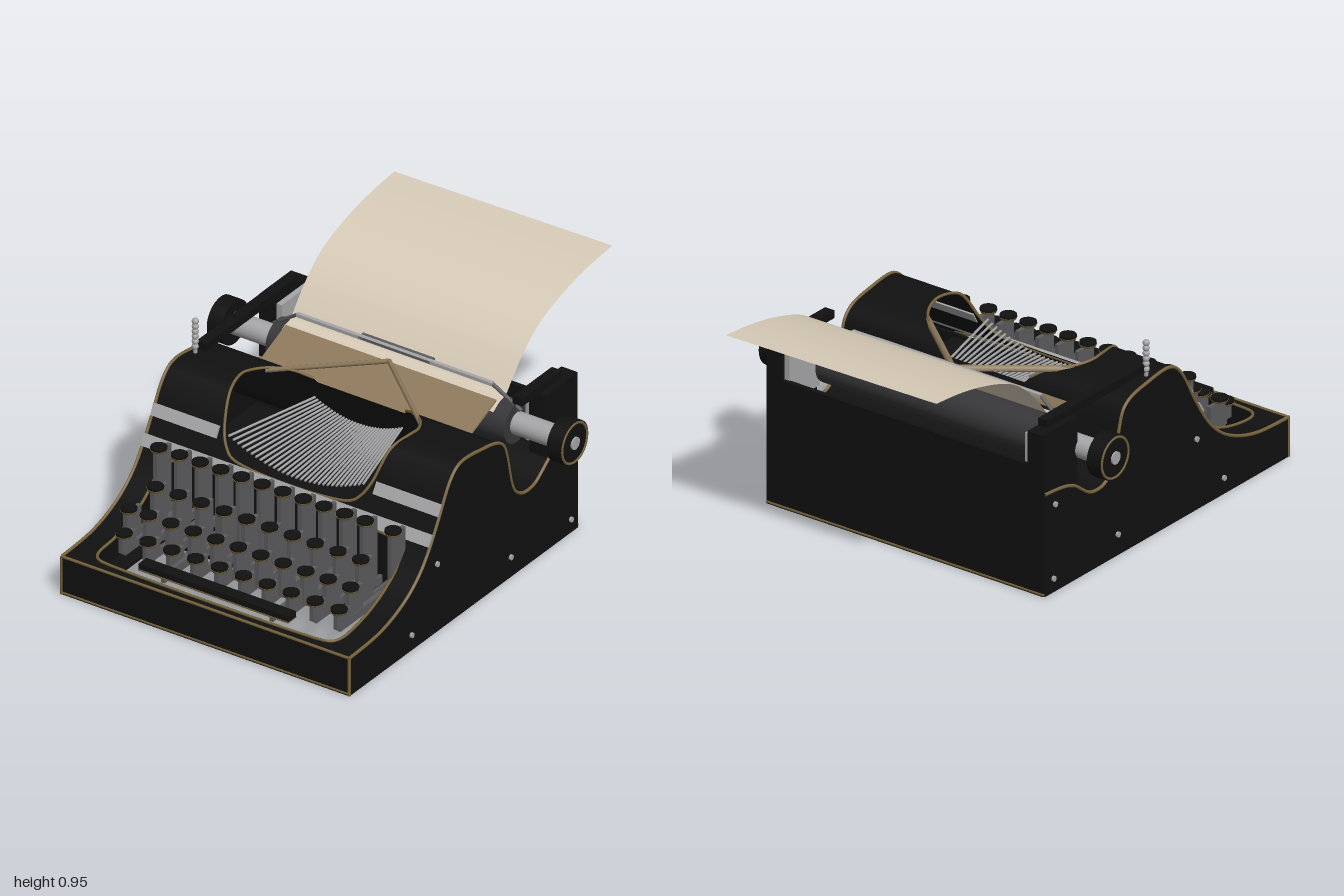
import * as THREE from 'three';

const mat = (name, color, side = THREE.FrontSide) => {
  const m = new THREE.MeshStandardMaterial({ color, side });
  m.name = name;
  return m;
};
const V = (x, y, z) => new THREE.Vector3(x, y, z);

export function createModel() {
  const black = mat('black enamel', 0x111111, THREE.DoubleSide);
  const gold = mat('gold trim', 0x77643c);
  const silver = mat('silver', 0xa6a6a8);
  const steel = mat('steel grey', 0x5c5c5f);
  const rubber = mat('platen rubber', 0x38383a);
  const tan = mat('tan guide', 0x8e7a5c, THREE.DoubleSide);
  const paperMat = mat('paper', 0xd8ccb8, THREE.DoubleSide);

  const model = new THREE.Group();
  model.name = 'typewriter';
  const add = (name, geo, m, x = 0, y = 0, z = 0, parent = model) => {
    const mesh = new THREE.Mesh(geo, m);
    mesh.name = name;
    mesh.position.set(x, y, z);
    parent.add(mesh);
    return mesh;
  };
  const box = (name, m, x0, x1, y0, y1, z0, z1, parent) =>
    add(name, new THREE.BoxGeometry(x1 - x0, y1 - y0, z1 - z0), m, (x0 + x1) / 2, (y0 + y1) / 2, (z0 + z1) / 2, parent);
  const tube = (name, pts, r, m, closed = false, n = 120) =>
    add(name, new THREE.TubeGeometry(new THREE.CatmullRomCurve3(pts, closed), n, r, 6, closed), m);
  const rod = (name, a, b, r, m, parent) => {
    const d = b.clone().sub(a);
    const mesh = add(name, new THREE.CylinderGeometry(r, r, d.length(), 6), m, 0, 0, 0, parent);
    mesh.position.copy(a).addScaledVector(d, 0.5);
    mesh.quaternion.setFromUnitVectors(V(0, 1, 0), d.normalize());
    return mesh;
  };
  const drum = (name, m, r, x0, x1, y, z) =>
    add(name, new THREE.CylinderGeometry(r, r, x1 - x0, 32).rotateZ(Math.PI / 2), m, (x0 + x1) / 2, y, z);

  // Side profile of the body as z, y
  const profile = new THREE.CatmullRomCurve3([
    [1, 0.165], [0.9, 0.168], [0.8, 0.177], [0.7, 0.203], [0.6, 0.25], [0.52, 0.315], [0.455, 0.4],
    [0.39, 0.51], [0.34, 0.6], [0.29, 0.653], [0.24, 0.668], [0.12, 0.655], [0.01, 0.63], [-0.035, 0.59],
    [-0.07, 0.46], [-0.1, 0.37], [-0.16, 0.328], [-0.24, 0.333], [-0.33, 0.395], [-0.4, 0.418], [-0.52, 0.43],
  ].map(([z, y]) => V(0, y, z))).getPoints(160);
  const lerpTable = (t, key, val, z) => {
    for (let i = 0; i < t.length - 1; i++) {
      const a = t[i], b = t[i + 1];
      if (z <= a[key] && z >= b[key]) return a[val] + (b[val] - a[val]) * (a[key] - z) / (a[key] - b[key] || 1);
    }
    return z > 0 ? t[0][val] : t[t.length - 1][val];
  };
  const bodyY = z => lerpTable(profile, 'z', 'y', z);

  // Half width of the keyboard and type basket openings
  const basket = [[0.43, 0.26], [0.41, 0.31], [0.38, 0.34], [0.3, 0.37], [0.2, 0.39], [0.14, 0.385], [0.08, 0.36], [-0.04, 0.2]];
  const opening = z => {
    if (z > 0.47 && z < 0.95) {
      const d = Math.max(0, 0.06 - Math.min(z - 0.47, 0.95 - z));
      return 0.5 + Math.sqrt(0.0036 - d * d);
    }
    return z < 0.43 && z > -0.04 ? lerpTable(basket, 0, 1, z) : 0;
  };

  // Curved top cover, in strips either side of the openings
  const cover = [];
  for (let i = 0; i < 152; i++) {
    const z0 = 1 - i / 100, z1 = z0 - 0.01, y0 = bodyY(z0), y1 = bodyY(z1);
    const a = opening(z0 - 1e-4), b = opening(z1 + 1e-4), w = 0.66;
    cover.push(a, y0, z0, w, y0, z0, w, y1, z1, a, y0, z0, w, y1, z1, b, y1, z1);
    cover.push(-a, y0, z0, -w, y1, z1, -w, y0, z0, -a, y0, z0, -b, y1, z1, -w, y1, z1);
  }
  const coverGeo = new THREE.BufferGeometry();
  coverGeo.setAttribute('position', new THREE.Float32BufferAttribute(cover, 3));
  coverGeo.computeVertexNormals();
  add('topCover', coverGeo, black);

  // Side plates with gold edging and screws
  const side = new THREE.Shape([new THREE.Vector2(-0.52, 0), new THREE.Vector2(1, 0),
    ...profile.map(p => new THREE.Vector2(p.z, p.y))]);
  const sideGeo = new THREE.ExtrudeGeometry(side, { depth: 0.03, bevelEnabled: false }).rotateY(-Math.PI / 2);
  for (const s of [-1, 1]) {
    add('sidePlate', sideGeo, black, s > 0 ? 0.665 : -0.635);
    tube('sideTrim', profile.filter((p, i) => i % 4 === 0).map(p => V(s * 0.662, p.y, p.z)), 0.007, gold);
    rod('frontCornerTrim', V(s * 0.662, 0, 0.997), V(s * 0.662, 0.165, 0.997), 0.006, gold);
    for (const [z, y] of [[0.42, 0.3], [0.59, 0.07], [-0.07, 0.09], [-0.47, 0.06], [-0.46, 0.37]])
      drum('screw', silver, 0.011, s * 0.668 - 0.006, s * 0.668 + 0.006, y, z);
  }

  // Front, back, floor and inner panels
  box('frontPanel', black, -0.66, 0.66, 0, 0.165, 0.975, 1);
  box('backPanel', black, -0.66, 0.66, 0, 0.43, -0.525, -0.505);
  box('keyboardBackPanel', black, -0.64, 0.64, 0, 0.39, 0.43, 0.445);
  box('basketFloor', black, -0.5, 0.5, 0.36, 0.38, -0.06, 0.43);
  const floor = new THREE.Shape([[-0.66, -0.525], [0.66, -0.525], [0.66, 1], [-0.66, 1]].map(p => new THREE.Vector2(...p)));
  floor.holes.push(new THREE.Path([[-0.56, 0.47], [-0.56, 0.95], [0.56, 0.95], [0.56, 0.47]].map(p => new THREE.Vector2(...p))));
  add('floor', new THREE.ExtrudeGeometry(floor, { depth: 0.012, bevelEnabled: false }).rotateX(Math.PI / 2), black, 0, 0.012);
  for (const [y, z] of [[0.165, 0.997], [0.008, 0.997], [0.008, -0.522]])
    rod('edgeTrim', V(-0.662, y, z), V(0.662, y, z), 0.006, gold);

  // Gold edging round the openings
  const rim = zs => {
    const half = zs.map(z => V(opening(z), bodyY(z) + 0.003, z));
    return [...half, ...half.map(p => V(-p.x, p.y, p.z)).reverse()];
  };
  tube('keyboardTrim', rim([0.948, 0.94, 0.925, 0.89, 0.8, 0.7, 0.6, 0.53, 0.495, 0.48, 0.472]), 0.006, gold, true, 200);
  tube('basketTrim', rim([-0.03, 0.02, 0.07, 0.14, 0.2, 0.3, 0.38, 0.41, 0.428]).reverse(), 0.006, gold, false, 160);

  // Silver bands across the front slope
  const band = (x, w, y, z) => {
    add('silverBand', new THREE.BoxGeometry(w, 0.05, 0.016), silver, x, y, z).rotation.x = -0.56;
  };
  band(0, 1.325, 0.415, 0.455);
  band(-0.512, 0.3, 0.517, 0.39);
  band(0.512, 0.3, 0.517, 0.39);

  // Keys: first x, spacing, count, height, z, extra key x
  const rows = [
    [-0.524, 0.095, 11, 0.475, 0.55, 0.555], [-0.47, 0.105, 10, 0.37, 0.65],
    [-0.434, 0.1035, 10, 0.305, 0.75, -0.524], [-0.487, 0.11, 10, 0.25, 0.835],
  ];
  const capGeo = new THREE.CylinderGeometry(0.033, 0.033, 0.014, 20);
  const ringGeo = new THREE.CylinderGeometry(0.035, 0.031, 0.009, 20);
  const makeKey = (x, y, z) => {
    const key = new THREE.Group();
    key.name = 'key';
    model.add(key);
    add('keyCap', capGeo, black, x, y - 0.004, z, key);
    add('keyRing', ringGeo, gold, x, y - 0.011, z, key);
    box('keyStem', steel, x - 0.009, x + 0.009, 0.17, y - 0.015, z - 0.07, z + 0.025, key);
    box('keyLever', steel, x - 0.007, x + 0.007, 0.15, 0.185, 0.44, z, key);
  };
  for (const [x0, step, n, y, z, extra] of rows) {
    for (let i = 0; i < n; i++) makeKey(x0 + i * step, y, z);
    if (extra) makeKey(extra, y, z);
  }
  box('spaceBar', black, -0.345, 0.345, 0.19, 0.215, 0.892, 0.945);
  box('spaceBarTrim', gold, -0.345, 0.345, 0.186, 0.192, 0.89, 0.947);
  for (const x of [-0.25, 0.25]) box('spaceBarArm', steel, x - 0.008, x + 0.008, 0.15, 0.187, 0.45, 0.92);

  // Fan of type bars
  for (let i = -15; i <= 15; i++) {
    const s = i / 15;
    rod('typeBar', V(s * 0.31, 0.44 + 0.08 * s * s, 0.395), V(s * 0.2, 0.475 + 0.05 * s * s, -0.02), 0.0052, silver);
  }

  // Type guide, sloping plate and V-shaped arms
  add('guidePlate', new THREE.BoxGeometry(0.97, 0.008, 0.2), tan, 0, 0.6, -0.145).rotation.x = 0.38;
  add('typeGuide', new THREE.CylinderGeometry(0.29, 0.22, 0.09, 4, 1, true, Math.PI / 4, Math.PI / 2)
    .rotateY(-Math.PI / 2).scale(1, 1, 0.05), silver, 0, 0.525, -0.12);
  for (const s of [-1, 1]) {
    const arm = rod('guideArm', V(0, 0.652, -0.225), V(s * 0.36, 0.638, 0.08), 0.014, tan);
    arm.scale.z = 0.7;
    rod('guideStrut', V(s * 0.2, 0.48, -0.12), V(s * 0.2, 0.58, -0.19), 0.008, tan);
  }

  // Platen with shafts and knobs
  const py = 0.54, pz = -0.28;
  drum('platen', rubber, 0.085, -0.55, 0.55, py, pz);
  for (const s of [-1, 1]) {
    const part = (name, m, r, a, b) => drum(name, m, r, Math.min(s * a, s * b), Math.max(s * a, s * b), py, pz);
    part('platenShaft', silver, 0.046, 0.54, 0.76);
    part('knob', black, 0.092, 0.75, 0.815);
    part('knobHub', silver, 0.026, 0.81, 0.822);
    add('knobRing', new THREE.TorusGeometry(0.083, 0.006, 6, 32).rotateY(Math.PI / 2), gold, s * 0.814, py, pz);
    // Carriage end posts and slides
    box('carriagePost', black, s > 0 ? 0.585 : -0.66, s > 0 ? 0.66 : -0.585, 0.41, 0.68, -0.525, -0.31);
    box('carriageSlide', silver, s * 0.573 - 0.012, s * 0.573 + 0.012, 0.45, 0.66, -0.51, -0.32);
    box('carriageRail', black, s * 0.608 - 0.022, s * 0.608 + 0.022, 0.677, 0.71, -0.46, s < 0 ? 0.15 : -0.2);
  }
  box('carriageBack', black, -0.66, 0.66, 0.42, 0.54, -0.525, -0.505);

  // Paper sheet curving up and back
  const path = new THREE.CatmullRomCurve3([[-0.21, 0.6], [-0.25, 0.625], [-0.29, 0.635], [-0.34, 0.69], [-0.41, 0.765],
    [-0.48, 0.82], [-0.55, 0.858], [-0.7, 0.905], [-0.85, 0.933], [-1, 0.947]].map(([z, y]) => V(0, y, z)));
  const sheet = new THREE.PlaneGeometry(0.99, 1, 1, 48);
  const pos = sheet.attributes.position;
  for (let i = 0; i < pos.count; i++) {
    const t = pos.getY(i) + 0.5, p = path.getPoint(t), x = pos.getX(i);
    pos.setXYZ(i, x - 0.005, p.y, p.z + (0.49 - x) * 0.02 * t);
  }
  sheet.computeVertexNormals();
  add('paper', sheet, paperMat);

  // Paper bail
  box('paperBail', silver, -0.45, 0.45, 0.678, 0.692, -0.272, -0.255);
  box('bailPlate', steel, -0.165, 0.165, 0.68, 0.69, -0.29, -0.255);
  for (const s of [-1, 1]) rod('bailArm', V(s * 0.45, 0.685, -0.263), V(s * 0.57, 0.6, -0.28), 0.008, steel);

  // Carriage return lever with a ribbed grip
  rod('leverPin', V(-0.63, 0.66, 0.155), V(-0.63, 0.8, 0.155), 0.008, silver);
  for (let i = 0; i < 6; i++)
    add('leverRib', new THREE.SphereGeometry(0.014, 12, 8), silver, -0.63, 0.69 + i * 0.022, 0.155);

  return model;
}
